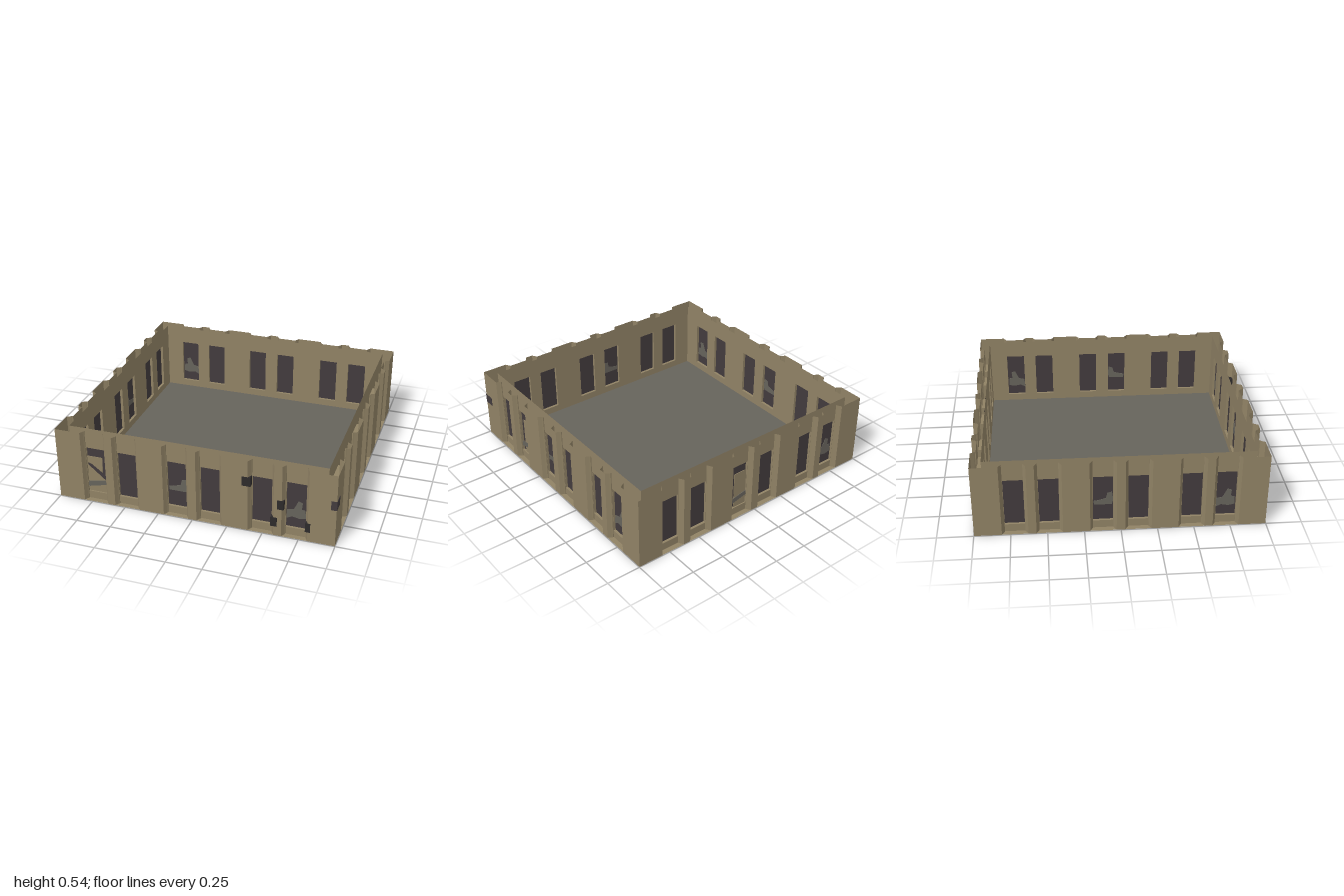
import * as THREE from 'three';

const mat = (name, color) => {
  const m = new THREE.MeshStandardMaterial({ color, side: THREE.DoubleSide, flatShading: true });
  m.name = name;
  return m;
};

const BAYS = [-0.72, -0.485, -0.12, 0.12, 0.485, 0.72];
const BOTTOM = 0.022, TOP = 0.562, SILL = 0.08, HEAD = 0.432;
const OUT = 0.998, BAY = 0.96, GLASS = 0.942, IN = 0.922, HALF = 0.07, MOUTH = 0.09;

export function createModel() {
  const wall = mat('sandstone', 0x908265);
  const floor = mat('concreteGrey', 0x66635b);
  const glass = mat('darkGlass', 0x423b3d);
  const dark = mat('chippedDark', 0x2d2a2b);

  const model = new THREE.Group();
  model.name = 'buildingStorey';
  const add = (parent, name, geo, material, x = 0, y = 0, z = 0) => {
    const m = new THREE.Mesh(geo, material);
    m.name = name;
    m.position.set(x, y, z);
    parent.add(m);
  };
  const poly = (pts) => new THREE.Shape(pts.map(([x, y]) => new THREE.Vector2(x, y)));
  const rect = (x0, y0, x1, y1) => poly([[x0, y0], [x1, y0], [x1, y1], [x0, y1]]);
  // Thin plate with its middle on the local z = 0 plane
  const plate = (shape, t = 0.006) =>
    new THREE.ExtrudeGeometry(shape, { depth: t, bevelEnabled: false }).translate(0, 0, -t / 2);

  // Vertical sheet following a path of [x, z] points
  const sheet = (path, y0, y1) => {
    const pos = [];
    for (let i = 0; i < path.length - 1; i++) {
      const [ax, az] = path[i], [bx, bz] = path[i + 1];
      pos.push(ax, y0, az, bx, y0, bz, bx, y1, bz, ax, y0, az, bx, y1, bz, ax, y1, az);
    }
    const g = new THREE.BufferGeometry();
    g.setAttribute('position', new THREE.Float32BufferAttribute(pos, 3));
    g.computeVertexNormals();
    return g;
  };

  // Thin floor slab
  add(model, 'floorSlab', new THREE.BoxGeometry(1.844, 0.005, 1.844), floor, 0, BOTTOM + 0.002, 0);

  // Inner wall with window openings
  const innerShape = rect(-IN, BOTTOM, IN, TOP);
  BAYS.forEach((c) => innerShape.holes.push(rect(c - HALF, SILL, c + HALF, HEAD)));
  const innerGeo = new THREE.ShapeGeometry(innerShape);

  // Recessed bay back with opening, its bottom ledge, and the window reveal
  const bayShape = rect(-HALF, BOTTOM, HALF, TOP);
  bayShape.holes.push(rect(-HALF + 0.002, SILL, HALF - 0.002, HEAD));
  const bayGeo = new THREE.ShapeGeometry(bayShape);
  const ledgeGeo = new THREE.ShapeGeometry(
    poly([[-HALF, IN], [HALF, IN], [HALF, BAY], [MOUTH, OUT], [-MOUTH, OUT], [-HALF, BAY]]))
    .rotateX(Math.PI / 2);
  // The sheet is built lying down, then turned so that its path runs round the opening
  const revealGeo = sheet([[-HALF, -SILL], [HALF, -SILL], [HALF, -HEAD], [-HALF, -HEAD], [-HALF, -SILL]],
    IN, BAY).rotateX(Math.PI / 2);

  // Outlines relative to the centre of a bay
  const shardA = plate(poly([[-0.06, 0.2], [0.06, 0.2], [0.07, 0.235], [0.062, 0.3], [0.03, 0.29],
    [0.02, 0.25], [-0.03, 0.235], [-0.065, 0.23]]));
  const shardB = plate(poly([[-0.07, 0.14], [-0.03, 0.16], [0.02, 0.15], [0.065, 0.16], [0.06, 0.22],
    [0.035, 0.225], [0.04, 0.275], [0.01, 0.285], [-0.02, 0.22], [-0.065, 0.21]]));
  const boardWide = plate(poly([[-0.07, 0.08], [0.07, 0.08], [0.07, 0.17], [-0.07, 0.29], [-0.07, 0.31],
    [-0.04, 0.3], [0.04, 0.24], [0.045, 0.36], [-0.07, 0.36]]), 0.004);
  const boardSlit = plate(rect(-0.035, 0.08, 0.07, 0.36), 0.004);
  const slatGeo = plate(poly([[-0.07, 0.115], [0.07, 0.15], [0.07, 0.185], [-0.07, 0.155]]), 0.004);

  const sides = ['front', 'left', 'back', 'right'];
  const boarded = [0, 1, 2, -1];
  sides.forEach((name, s) => {
    const side = new THREE.Group();
    side.name = name + 'Wall';
    side.rotation.y = s * Math.PI / 2;
    model.add(side);
    add(side, 'innerWall', innerGeo, wall, 0, 0, IN);

    // Outer panels between bays, with splayed cheeks
    let start = [[-OUT, OUT]];
    BAYS.forEach((c) => {
      add(side, 'outerPanel', sheet([...start, [c - MOUTH, OUT], [c - MOUTH + 0.014, 0.974],
        [c - HALF, 0.966], [c - HALF, BAY]], BOTTOM, TOP), wall);
      start = [[c + HALF, BAY], [c + HALF, 0.966], [c + MOUTH - 0.014, 0.974], [c + MOUTH, OUT]];
    });
    add(side, 'outerPanel', sheet([...start, [OUT, OUT]], BOTTOM, TOP), wall);

    BAYS.forEach((c, i) => {
      const isBoarded = i === boarded[s];
      add(side, 'bayBack', bayGeo, wall, c, 0, BAY);
      add(side, 'bayLedge', ledgeGeo, wall, c, BOTTOM + 0.001, 0);
      add(side, 'windowReveal', revealGeo, wall, c);
      add(side, 'windowPane', new THREE.PlaneGeometry(isBoarded ? 0.24 : HALF * 2, HEAD - SILL), glass,
        c, (SILL + HEAD) / 2, GLASS);
      if (isBoarded) {
        add(side, 'windowBoard', i === 0 ? boardWide : boardSlit, wall, c, 0, GLASS + 0.006);
        add(side, 'windowSlat', slatGeo, floor, c, 0, GLASS + 0.012);
      } else if (i === 2) add(side, 'paneShard', shardA, floor, c, 0, GLASS);
      else if (i === 5) add(side, 'paneShard', shardB, floor, c, 0, GLASS);
    });
  });

  // Dark chipped spots on the front wall and its corner: x, y, width, height
  [[0.385, 0.405, 0.06, 0.07], [0.622, 0.267, 0.045, 0.07], [0.577, 0.128, 0.045, 0.07],
    [0.81, 0.128, 0.035, 0.07]].forEach(([x, y, w, h]) =>
    add(model, 'chip', new THREE.BoxGeometry(w, h, 0.06), dark, x, y, 0.97));
  add(model, 'cornerChip', new THREE.BoxGeometry(0.04, 0.068, 0.085), glass, 0.98, 0.335, 0.9575);
  return model;
}
